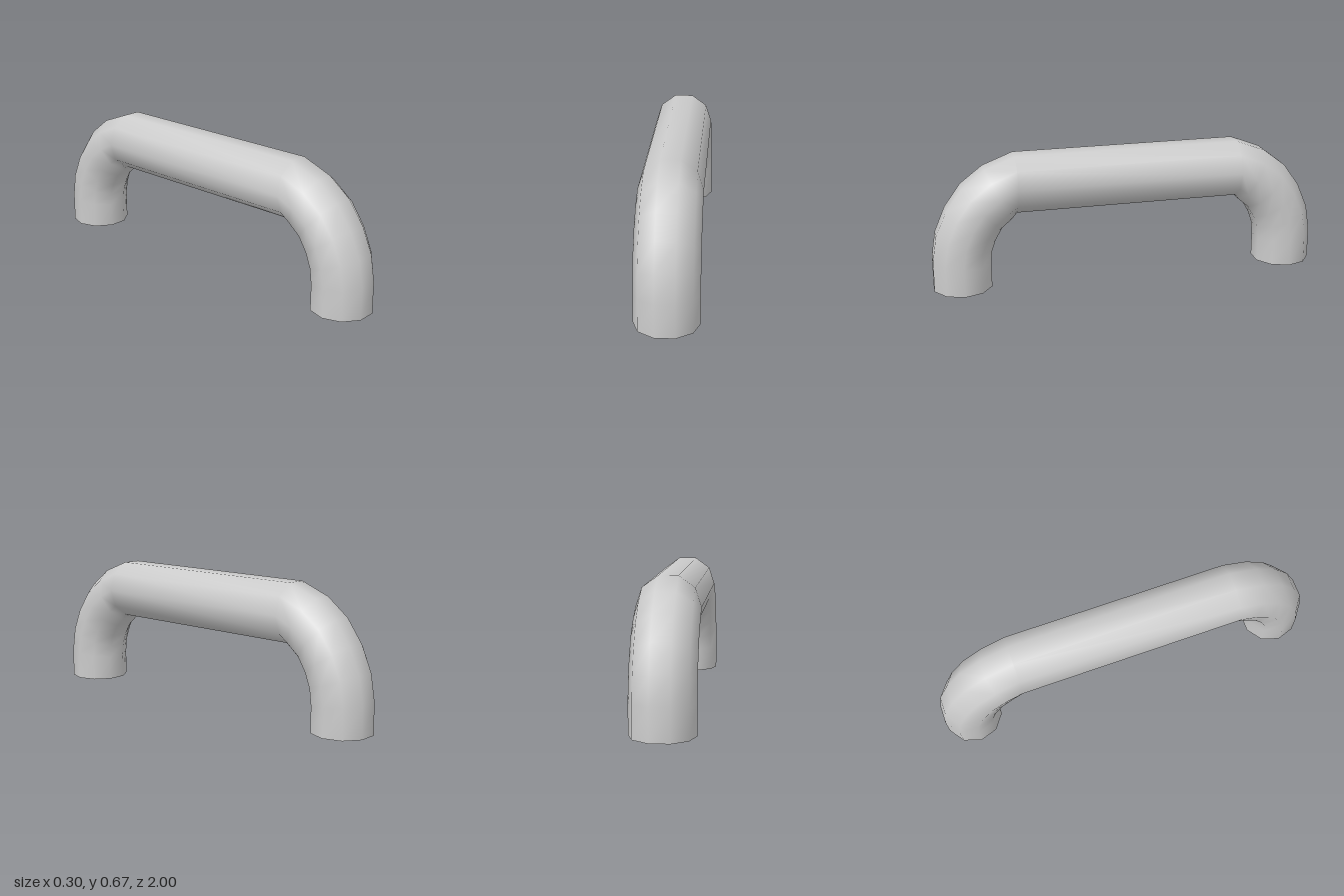
import * as THREE from 'three';

const SIDES = 10;
const RADIUS = 0.152;

// Stations along the front half: [z, y, ring tilt in degrees]
const HALF = [
  [0.8555, 0, 0],
  [0.8545, 0.142, 7],
  [0.84, 0.24, 20],
  [0.802, 0.333, 35],
  [0.743, 0.42, 49],
  [0.659, 0.487, 63],
  [0.572, 0.53, 90],
];

// Sweep a ten-sided ring through the stations, sharing vertices for smooth shading
function sweep(stations) {
  const positions = [];
  const index = [];
  stations.forEach(([z, y, tilt], i) => {
    const t = THREE.MathUtils.degToRad(tilt);
    for (let j = 0; j < SIDES; j++) {
      const a = (j / SIDES) * Math.PI * 2;
      const out = RADIUS * Math.sin(a);
      positions.push(RADIUS * Math.cos(a), y + out * Math.sin(t), z + out * Math.cos(t));
      if (i === 0) continue;
      const k = (j + 1) % SIDES;
      const p = (i - 1) * SIDES;
      const q = i * SIDES;
      index.push(p + j, q + j, p + k, p + k, q + j, q + k);
    }
  });
  const geometry = new THREE.BufferGeometry();
  geometry.setAttribute('position', new THREE.Float32BufferAttribute(positions, 3));
  geometry.setIndex(index);
  geometry.computeVertexNormals();
  return geometry;
}

export function createModel() {
  const group = new THREE.Group();
  group.name = 'pullHandle';

  // Front leg and bend, straight bar, then the mirrored bend and leg; both feet open
  const back = HALF.map(([z, y, tilt]) => [-z, y, 180 - tilt]).reverse();
  const handle = new THREE.Mesh(
    sweep([...HALF, ...back]),
    new THREE.MeshStandardMaterial({ color: 0xcccccc, side: THREE.DoubleSide })
  );
  handle.name = 'bentTube';
  group.add(handle);
  return group;
}
